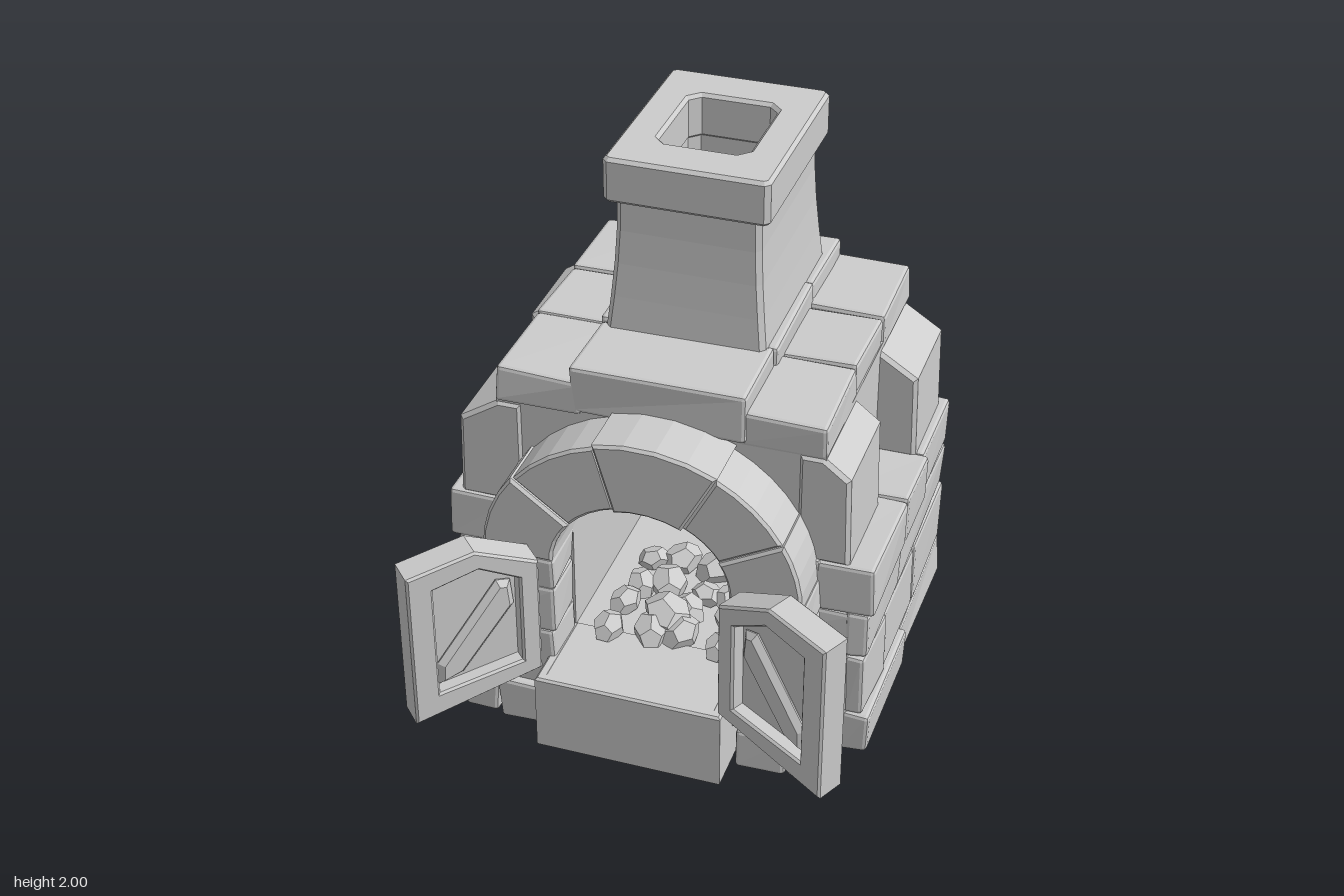
import * as THREE from 'three';
import { RoundedBoxGeometry } from 'three/addons/geometries/RoundedBoxGeometry.js';

export function createModel() {
  const group = new THREE.Group();
  const stoneGrey = new THREE.MeshStandardMaterial({ color: 0xcccccc });
  stoneGrey.name = 'stoneGrey';

  let seed = 7;
  const rand = () => {
    seed = (seed * 16807) % 2147483647;
    return seed / 2147483647;
  };
  const add = (name, geometry, parent = group) => {
    const mesh = new THREE.Mesh(geometry, stoneGrey);
    mesh.name = name;
    parent.add(mesh);
    return mesh;
  };

  // Rough block between two corners: every corner is nudged a little
  const stone = (name, xa, xb, y0, y1, za, zb, rough = 0.006) => {
    const w = Math.abs(xb - xa), h = y1 - y0, d = Math.abs(zb - za);
    const geo = new RoundedBoxGeometry(w, h, d, 1, Math.min(0.014, w / 4, h / 4, d / 4));
    const nudge = Array.from({ length: 8 }, () =>
      new THREE.Vector3(rand() - 0.5, rand() - 0.5, rand() - 0.5).multiplyScalar(2 * rough));
    const p = geo.attributes.position, v = new THREE.Vector3();
    for (let i = 0; i < p.count; i++) {
      v.fromBufferAttribute(p, i);
      const k = (v.x > 0 ? 1 : 0) + (v.y > 0 ? 2 : 0) + (v.z > 0 ? 4 : 0);
      v.add(nudge[k]);
      p.setXYZ(i, v.x, v.y, v.z);
    }
    geo.computeVertexNormals();
    const mesh = add(name, geo);
    mesh.position.set((xa + xb) / 2, Math.max((y0 + y1) / 2, h / 2 + 0.006), (za + zb) / 2);
    return mesh;
  };

  const outline = (pts) => new THREE.Shape(pts.map(([x, y]) => new THREE.Vector2(x, y)));
  // Bevelled prism along z, keeping its outline within the given points
  const prism = (shape, z0, z1, bevel = 0.012) => new THREE.ExtrudeGeometry(shape, {
    depth: z1 - z0 - 2 * bevel, bevelEnabled: bevel > 0, bevelThickness: bevel,
    bevelSize: bevel, bevelOffset: -bevel, bevelSegments: 1, curveSegments: 12,
  }).translate(0, 0, z0 + bevel);

  // Courses of the lower walls: bottom, top, outer x, z joints, back x joints
  const courses = [
    [0, 0.17, 0.76, [0.27, -0.25, -0.84], [-0.64, -0.1, 0.3, 0.64]],
    [0.17, 0.42, 0.738, [0.27, 0, -0.4, -0.83], [-0.64, -0.2, 0.1, 0.64]],
    [0.42, 0.6, 0.738, [0.27, -0.17, -0.83], [-0.64, -0.2, 0.1, 0.64]],
    [0.6, 0.79, 0.757, [0.27, -0.17, -0.45, -0.84], [-0.64, 0.05, 0.64]],
  ];
  for (const [y0, y1, x, zs, xs] of courses) {
    const inner = y0 < 0.6 ? 0.66 : 0.54;
    for (const s of [-1, 1]) {
      for (let i = 0; i + 1 < zs.length; i++) {
        const outer = i + 2 === zs.length ? Math.min(x, 0.742) : x;
        stone('sideWallStone', s * inner, s * outer, y0, y1, zs[i], zs[i + 1]);
      }
      stone('frontWallStone', s * 0.32, s * (inner + 0.02), y0, y1, 0.21, 0.27);
    }
    for (let i = 0; i + 1 < xs.length; i++) stone('backWallStone', xs[i] - 0.02, xs[i + 1] + 0.02, y0, y1, zs.at(-1) + 0.09, zs.at(-1));
  }

  // Oven core with a vaulted chamber, its floor and its back wall
  const core = outline([[-0.57, 0.27], [0.57, 0.27], [0.57, 1.21], [-0.57, 1.21]]);
  const vault = new THREE.Path();
  vault.moveTo(-0.31, 0.275);
  vault.lineTo(0.31, 0.275);
  vault.lineTo(0.31, 0.72);
  vault.absellipse(0, 0.72, 0.31, 0.235, 0, Math.PI, false);
  vault.lineTo(-0.31, 0.275);
  core.holes.push(vault);
  add('ovenCore', prism(core, -0.62, 0.25, 0));
  stone('ovenBackWall', -0.56, 0.56, 0.28, 1.2, -0.6, -0.74, 0);
  stone('ovenFloor', -0.68, 0.68, 0.265, 0.295, -0.76, 0.26, 0);

  // Upper back wall
  for (const [x0, x1] of [[-0.57, -0.2], [-0.2, 0.24], [0.24, 0.57]])
    stone('upperBackStone', x0, x1, 0.78, 1.21, -0.71, -0.82);

  // Sloped shoulder stones: front z, back z, outer x, knee height, top height
  const shoulders = [
    [0.26, -0.13, -0.705, 1.09, 1.18], [0.26, -0.13, 0.655, 1.12, 1.19],
    [-0.43, -0.8, -0.72, 1.09, 1.19], [-0.43, -0.8, 0.705, 1.1, 1.19],
  ];
  for (const [z1, z0, x, knee, top] of shoulders) {
    const s = Math.sign(x);
    const pts = [[s * 0.48, 0.78], [x + s * 0.008, 0.78], [x, knee], [s * 0.565, top], [s * 0.48, top]];
    add('shoulderStone', prism(outline(pts), z0, z1, 0.014));
  }

  // Roof slabs
  for (const s of [-1, 1])
    for (const [z0, z1, x] of [[-0.13, 0.255, 0.57], [-0.46, -0.13, 0.565], [-0.84, -0.47, 0.57]])
      stone('sideRoofSlab', s * 0.27, s * x, 1.18, 1.31, z0, z1);
  stone('frontRoofSlab', -0.3, 0.3, 1.19, 1.375, -0.05, 0.265);
  stone('middleRoofSlab', -0.31, 0.31, 1.19, 1.38, -0.5, -0.05, 0.004);
  stone('backRoofSlab', -0.31, 0.31, 1.19, 1.375, -0.84, -0.5);

  // Arch of wedge stones over the mouth
  const joints = [0, 0.5, 1.08, 1.85, 2.5, Math.PI];
  for (let i = 0; i + 1 < joints.length; i++) {
    const pts = [], n = 4, grow = [0, -0.008, 0.01, -0.008, 0][i];
    const at = (t, rx, ry, cy) => [rx * Math.cos(t), cy + ry * Math.sin(t)];
    for (let k = 0; k <= n; k++)
      pts.push(at(THREE.MathUtils.lerp(joints[i], joints[i + 1], k / n), 0.56 + grow, 0.52 + grow, 0.71));
    for (let k = n; k >= 0; k--)
      pts.push(at(THREE.MathUtils.lerp(joints[i], joints[i + 1], k / n), 0.31, 0.27, 0.71));
    add('archStone', prism(outline(pts), 0.24, 0.455 + grow, 0.01));
  }

  // Legs of the arch and their footings
  for (const s of [-1, 1]) {
    for (const [y0, y1] of [[0.16, 0.41], [0.41, 0.59], [0.59, 0.72]])
      stone('archLegStone', s * 0.31, s * 0.57, y0, y1, 0.25, 0.45);
    stone('footingStone', s * 0.34, s * 0.52, 0, 0.16, 0.25, 0.47);
    stone('footingStone', s * 0.52, s * 0.65, 0.01, 0.16, 0.25, 0.465);
  }

  // Hearth: hollow underneath, with a top plate that meets the oven floor
  const rim = outline([[-0.338, -0.24], [-0.338, -0.578], [0.325, -0.578], [0.325, -0.24],
    [0.285, -0.24], [0.285, -0.538], [-0.298, -0.538], [-0.298, -0.24]]);
  add('hearthWall', prism(rim, 0, 0.3, 0.008).rotateX(-Math.PI / 2));
  const hearthTop = new THREE.BoxGeometry(0.6, 0.03, 0.31);
  add('hearthTop', hearthTop).position.set(-0.006, 0.284, 0.4);

  // Chimney: flared hollow stack under a square cap
  const ring = (w, d, hw, hd) => {
    const cut = (x, y, c) => [[-x, -y + c], [-x + c, -y], [x - c, -y], [x, -y + c],
      [x, y - c], [x - c, y], [-x + c, y], [-x, y - c]];
    const shape = outline(cut(w, d, 0.018));
    shape.holes.push(outline(cut(hw, hd, 0.035).reverse()));
    return shape;
  };
  const stack = new THREE.ExtrudeGeometry(ring(0.278, 0.357, 0.16, 0.195), { depth: 0.48, steps: 4, bevelEnabled: false });
  stack.rotateX(-Math.PI / 2);
  const sp = stack.attributes.position;
  for (let i = 0; i < sp.count; i++) {
    const x = sp.getX(i), y = sp.getY(i), z = sp.getZ(i);
    if (Math.abs(x) < 0.2) continue;
    const inset = 0.032 * Math.sin((Math.min(1, y / 0.46) * Math.PI) / 2);
    sp.setXYZ(i, x - Math.sign(x) * inset, y, z - Math.sign(z) * inset);
  }
  stack.computeVertexNormals();
  add('chimneyStack', stack).position.set(0.003, 1.37, -0.365);
  const cap = prism(ring(0.282, 0.355, 0.155, 0.188), 0, 0.16, 0.012).rotateX(-Math.PI / 2);
  add('chimneyCap', cap).position.set(0.003, 1.84, -0.365);

  // Two open doors: a framed panel with a folded pane
  const door = (name, x, z, dx, dz) => {
    const g = new THREE.Group();
    g.name = name;
    const m = Math.sign(dx);
    const flip = (pts) => pts.map(([u, y]) => [u * m, y]);
    const frame = outline(flip([[0, 0.32], [0.46, 0.23], [0.46, 0.835], [0.22, 0.875], [0, 0.77]]));
    const opening = flip([[0.07, 0.375], [0.07, 0.72], [0.21, 0.8], [0.37, 0.765], [0.37, 0.335]]);
    frame.holes.push(new THREE.Path(opening.map(([u, y]) => new THREE.Vector2(u, y))));
    add('doorFrame', prism(frame, -0.058, 0.056, 0.008), g);
    add('doorPane', prism(outline(opening), -0.015, 0.005, 0), g);
    const fold = outline(flip([[0.08, 0.6], [0.09, 0.7], [0.14, 0.71], [0.36, 0.43], [0.36, 0.345], [0.27, 0.37]]));
    add('paneRidge', prism(fold, -0.01, 0.035, 0.02), g);
    g.position.set(x, 0, z);
    g.rotation.y = Math.atan2(-dz * m, dx * m);
    group.add(g);
  };
  door('rightDoor', -0.36, 0.495, -0.33, 0.315);
  door('leftDoor', 0.335, 0.525, 0.41, 0.2);

  // Coals heaped on the oven floor
  const coal = (x, y, z, r) => {
    const mesh = add('coal', new THREE.DodecahedronGeometry(r, 0));
    mesh.position.set(x, y, z);
    mesh.scale.set(1.2, 0.75, 1);
    mesh.rotation.set(0.3 * rand(), rand() * 3, 0.3 * rand());
  };
  for (let i = 0; i < 16; i++)
    coal(-0.18 + 0.125 * (i % 4) + 0.05 * (rand() - 0.5), 0.325,
      -0.16 + 0.13 * Math.floor(i / 4) + 0.06 * (rand() - 0.5), 0.05 + 0.02 * rand());
  coal(0, 0.345, 0.16, 0.085);

  return group;
}
